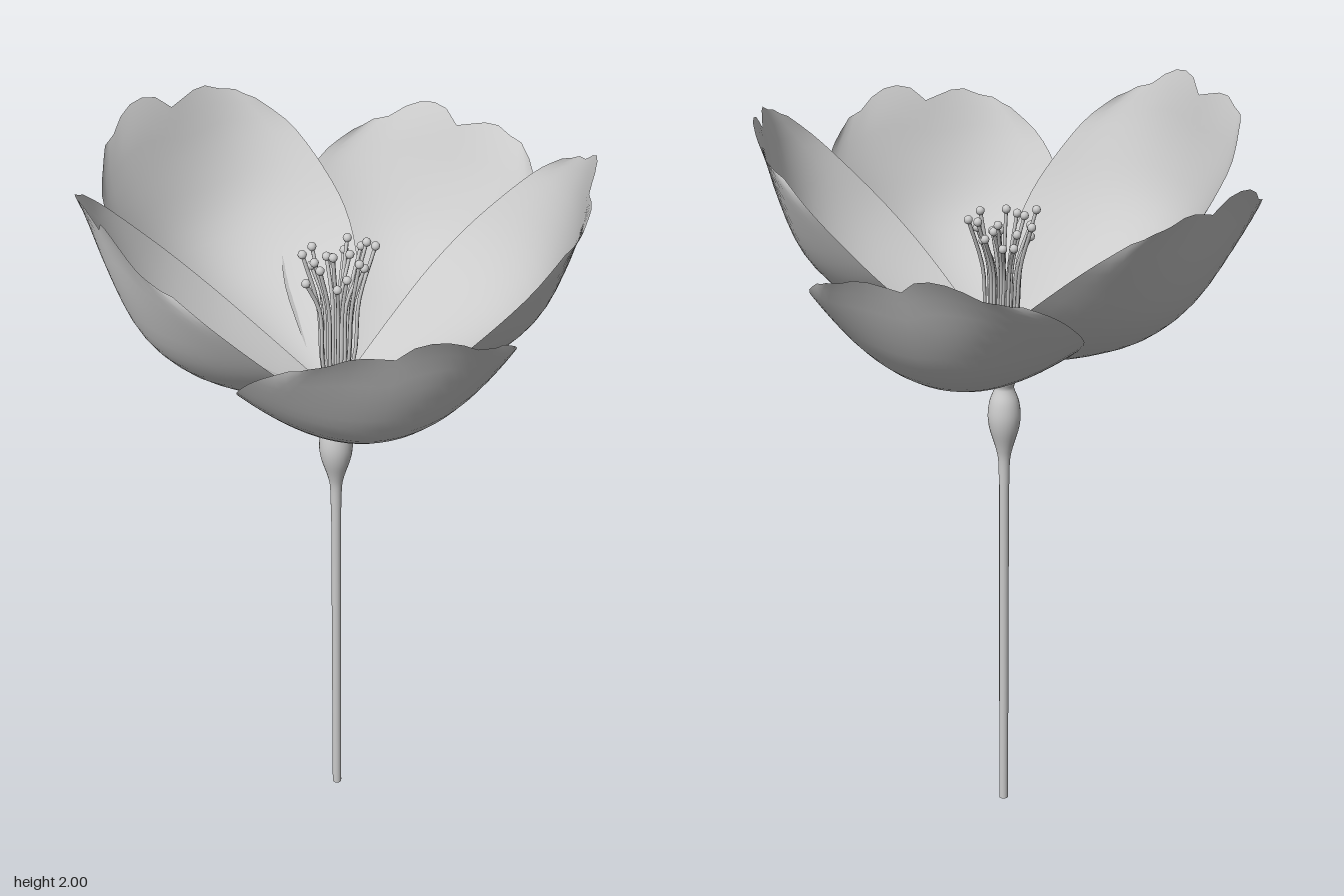
import * as THREE from 'three';

const material = new THREE.MeshStandardMaterial({ color: 0xcccccc });
const thinMaterial = new THREE.MeshStandardMaterial({ color: 0xcccccc, side: THREE.DoubleSide });

// Smooth curve y(x) through a few points
function curveThrough(points) {
  const curve = new THREE.SplineCurve(points.map(([x, y]) => new THREE.Vector2(x, y)));
  const samples = curve.getPoints(120);
  return (x) => {
    let i = 1;
    while (i < samples.length - 1 && samples[i].x < x) i++;
    const a = samples[i - 1], b = samples[i];
    const f = THREE.MathUtils.clamp((x - a.x) / (b.x - a.x || 1), 0, 1);
    return a.y + (b.y - a.y) * f;
  };
}

// Petal shape: half width along the petal, bowl depth below the rim plane
const halfWidth = curveThrough([[0, 0.025], [0.1, 0.095], [0.22, 0.18], [0.38, 0.275], [0.55, 0.325], [0.72, 0.33], [0.88, 0.31], [1, 0.255]]);
const bowl = curveThrough([[0, 0], [0.1, -0.045], [0.2, -0.088], [0.32, -0.13], [0.46, -0.163], [0.6, -0.155], [0.75, -0.09], [0.88, -0.01], [0.95, 0.02]]);
// Scalloped outer rim with a notch near the middle
const rim = [0.79, 0.84, 0.86, 0.895, 0.915, 0.92, 0.91, 0.875, 0.885, 0.895, 0.895, 0.875, 0.86, 0.815];

function petalGeometry() {
  const cols = 26, rows = 20;
  const geo = new THREE.PlaneGeometry(1, 1, cols, rows);
  const pos = geo.attributes.position;
  for (let i = 0; i < pos.count; i++) {
    const u = pos.getX(i) * 2;
    const v = pos.getY(i) + 0.5;
    const k = (u + 1) / 2 * (rim.length - 1);
    const k0 = Math.min(Math.floor(k), rim.length - 2);
    const length = THREE.MathUtils.lerp(rim[k0], rim[k0 + 1], k - k0);
    const smooth = 0.9 - 0.09 * u * u;
    // scallops fade out towards the base
    const s = v * THREE.MathUtils.lerp(smooth, length, v ** 4);
    pos.setXYZ(i, s, bowl(s) * (1 - u * u), u * halfWidth(v));
  }
  geo.computeVertexNormals();
  return geo;
}

function createStem() {
  const stem = new THREE.Group();
  stem.name = 'stem';
  const stalk = new THREE.Mesh(new THREE.CylinderGeometry(0.0135, 0.0125, 1.06, 12), material);
  stalk.name = 'stalk';
  stalk.position.y = 0.53;
  // Swollen bud base, narrow neck and flared cup
  const outline = [[0.014, 0.97], [0.016, 1.04], [0.024, 1.08], [0.039, 1.13], [0.044, 1.17], [0.039, 1.21],
    [0.028, 1.24], [0.026, 1.252], [0.031, 1.267], [0.031, 1.28], [0.026, 1.295], [0.031, 1.315], [0.055, 1.337]];
  const curve = new THREE.SplineCurve(outline.map(([r, y]) => new THREE.Vector2(r, y)));
  const bulb = new THREE.Mesh(new THREE.LatheGeometry(curve.getPoints(48), 24), thinMaterial);
  bulb.name = 'receptacle';
  stem.add(stalk, bulb);
  return stem;
}

function createStamens() {
  const stamens = new THREE.Group();
  stamens.name = 'stamens';
  const tipGeo = new THREE.SphereGeometry(0.0115, 10, 8);
  const count = 20;
  for (let i = 0; i < count; i++) {
    const a = i * 2.4;
    const spread = Math.sqrt((i + 0.5) / count);
    const reach = 0.03 + 0.085 * spread;
    const c = Math.cos(a), s = Math.sin(a);
    const top = new THREE.Vector3(0.03 + c * reach, 1.7 + 0.035 * Math.sin(i * 1.7), -0.025 + s * reach * 0.75);
    // Nearly upright filaments that bend outwards at the top
    const path = new THREE.CatmullRomCurve3([
      new THREE.Vector3(c * 0.02, 1.325, s * 0.02),
      new THREE.Vector3(0.005 + c * 0.055 * spread, 1.45, s * 0.045 * spread),
      new THREE.Vector3(0.015 + c * 0.065 * spread, 1.59, -0.01 + s * 0.055 * spread),
      top,
    ]);
    const filament = new THREE.Mesh(new THREE.TubeGeometry(path, 12, 0.005, 6), material);
    filament.name = 'filament';
    const anther = new THREE.Mesh(tipGeo, material);
    anther.name = 'anther';
    anther.position.copy(top);
    stamens.add(filament, anther);
  }
  return stamens;
}

export function createModel() {
  const flower = new THREE.Group();
  flower.name = 'flower';

  // Five petals: compass angle from +x towards +z, opening tilt (degrees), size, base height
  const petals = [
    [-87, 39.5, 1.0, 1.325],
    [-22, 32, 0.98, 1.31],
    [49, 46.5, 1.0, 1.325],
    [120, 39.5, 0.985, 1.315],
    [197, 47, 0.995, 1.325],
  ];
  const geo = petalGeometry();
  for (const [angle, tilt, size, height] of petals) {
    const petal = new THREE.Mesh(geo, thinMaterial);
    petal.name = 'petal';
    petal.rotation.order = 'YXZ';
    petal.rotation.y = -THREE.MathUtils.degToRad(angle);
    petal.rotation.z = THREE.MathUtils.degToRad(tilt);
    petal.scale.setScalar(size);
    petal.position.y = height;
    flower.add(petal);
  }
  flower.add(createStem(), createStamens());

  // The stalk stands slightly off the centre of the bloom
  flower.position.set(-0.06, 0, 0.03);
  const model = new THREE.Group();
  model.name = 'flowerModel';
  model.add(flower);
  return model;
}
